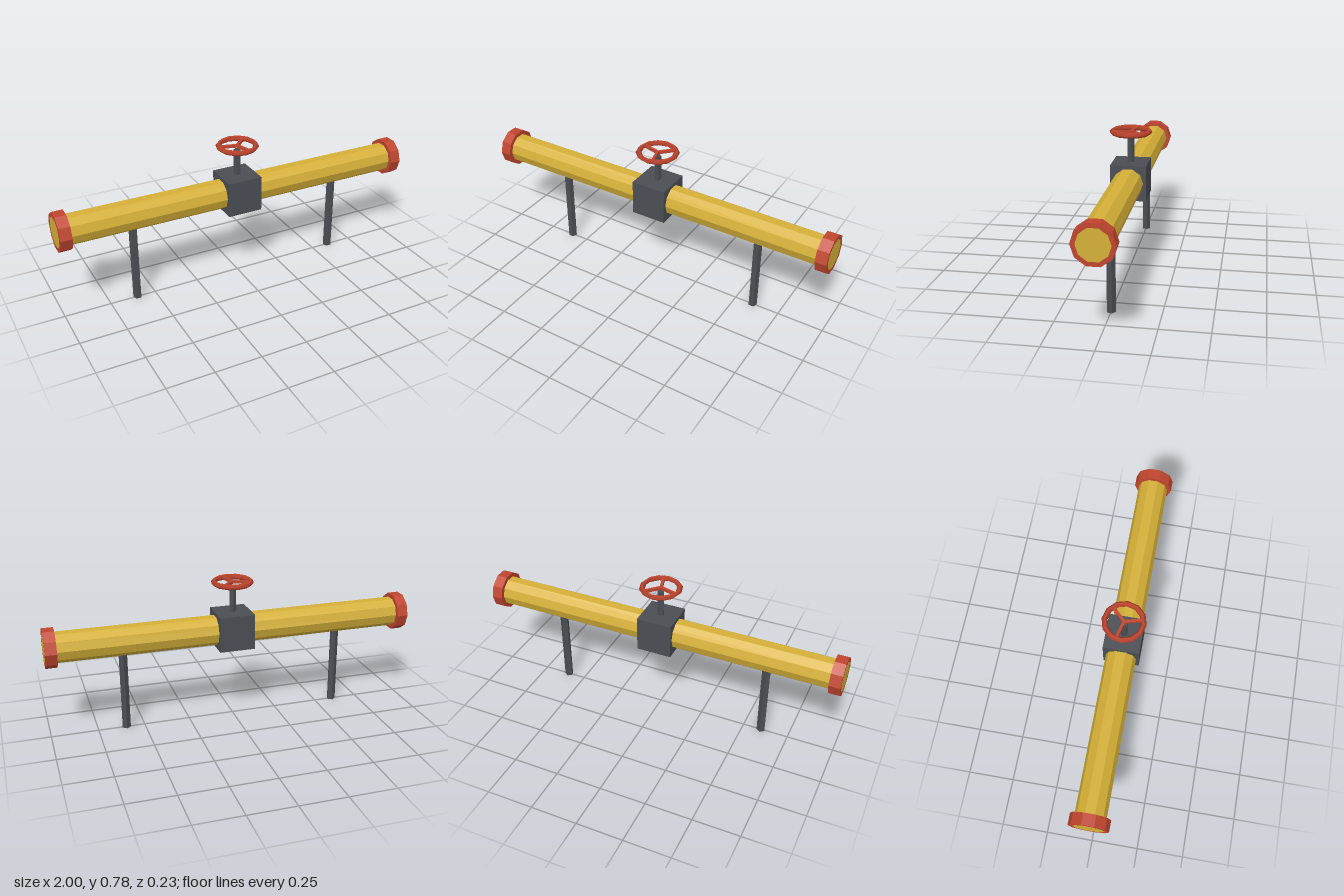
import * as THREE from 'three';

const flat = (g) => {
  const n = g.toNonIndexed();
  n.computeVertexNormals();
  return n;
};

export function createModel() {
  const model = new THREE.Group();
  model.name = 'pipeWithValve';
  const mat = (name, color) => {
    const m = new THREE.MeshStandardMaterial({ color });
    m.name = name;
    return m;
  };
  const yellow = mat('pipeYellow', 0xd4af37);
  const red = mat('valveRed', 0xc0452e);
  const grey = mat('steelGrey', 0x4a4e53);

  const add = (name, geometry, material, x, y, z, parent = model) => {
    const mesh = new THREE.Mesh(geometry, material);
    mesh.name = name;
    mesh.position.set(x, y, z);
    parent.add(mesh);
    return mesh;
  };
  // Ten-sided cylinder lying along x
  const lying = (r, length) => flat(new THREE.CylinderGeometry(r, r, length, 10).rotateZ(Math.PI / 2));
  // Five-sided upright post with one corner to the back
  const post = (r, height) => flat(new THREE.CylinderGeometry(r, r, height, 5, 1, false, Math.PI));

  const axisY = 0.5015;

  // Main pipe, a hair proud of the flanges so its ends show
  add('pipe', lying(0.0805, 2.001), yellow, 0, axisY, 0);

  // End flanges and supports
  for (const side of [-1, 1]) {
    add(side > 0 ? 'leftFlange' : 'rightFlange', lying(0.1035, 0.06), red, side * 0.97, axisY, 0);
    add(side > 0 ? 'leftSupport' : 'rightSupport', post(0.0235, 0.46), grey, side * 0.6, 0.23, 0);
  }

  // Valve body and stem
  add('valveBody', new THREE.BoxGeometry(0.192, 0.192, 0.192), grey, 0, axisY, 0);
  add('valveStem', post(0.0193, 0.2), grey, 0, 0.641, 0);

  // Hand wheel with three spokes
  const wheel = new THREE.Group();
  wheel.name = 'handWheel';
  wheel.position.y = 0.7605;
  model.add(wheel);
  add('wheelRim', new THREE.TorusGeometry(0.0993, 0.0155, 4, 12).rotateX(Math.PI / 2), red, 0, 0, 0, wheel);
  for (let i = 0; i < 3; i++) {
    const spoke = new THREE.BoxGeometry(0.098, 0.015, 0.015).translate(0.049, 0, 0);
    add('wheelSpoke', spoke, red, 0, 0, 0, wheel).rotation.y = Math.PI / 4 + (i * Math.PI * 2) / 3;
  }
  return model;
}
